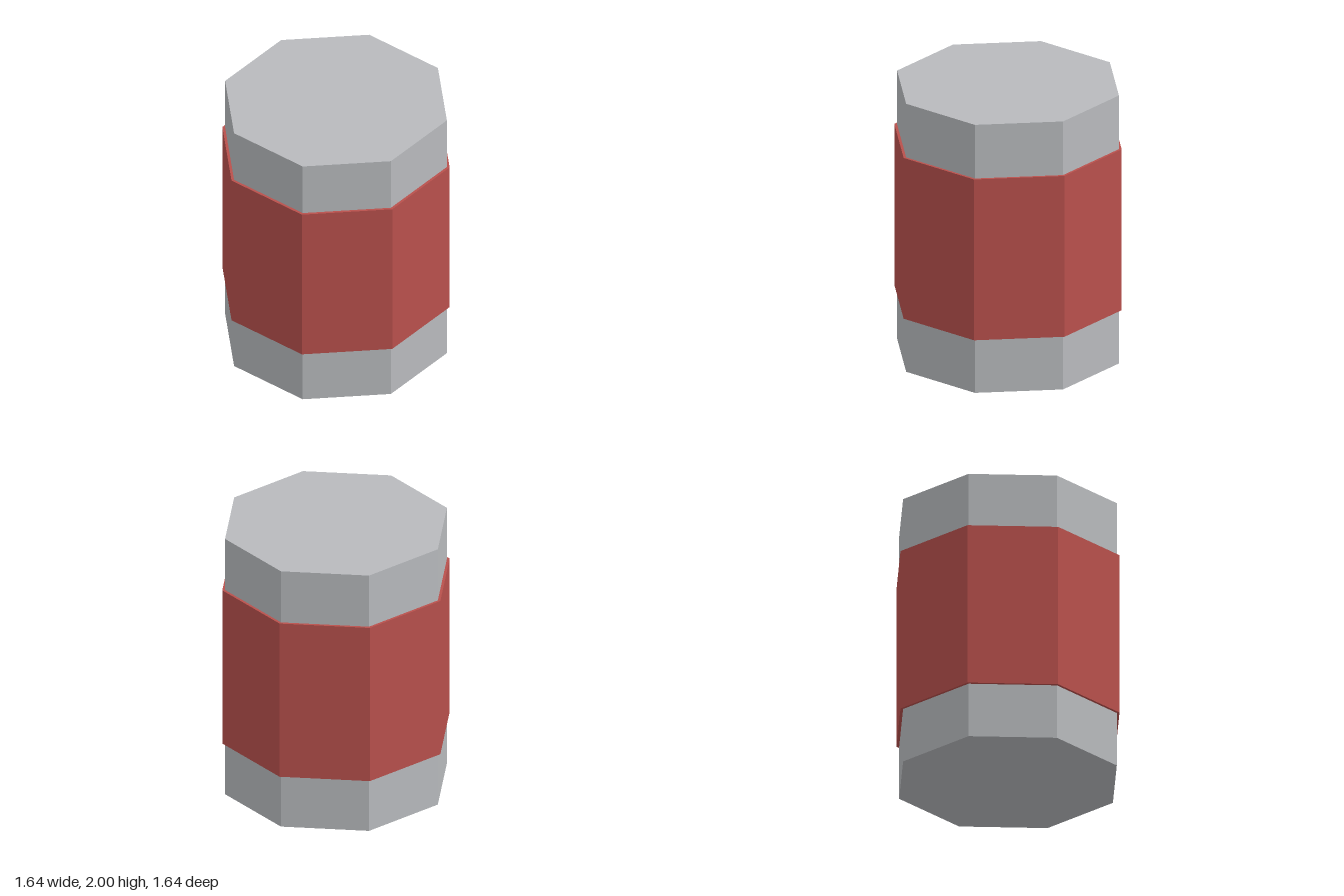
import * as THREE from 'three';

const SIDES = 8;

export function createModel() {
  const metal = new THREE.MeshStandardMaterial({ color: 0xb8babd });
  metal.name = 'grey metal';
  metal.flatShading = true;
  const red = new THREE.MeshStandardMaterial({ color: 0xb8504c });
  red.name = 'red label';
  red.flatShading = true;

  const group = new THREE.Group();
  group.name = 'can';

  // Upright octagonal prism with corners on the x and z axes
  const addPrism = (name, radius, height, material) => {
    const mesh = new THREE.Mesh(new THREE.CylinderGeometry(radius, radius, height, SIDES), material);
    mesh.name = name;
    mesh.position.y = 1;
    group.add(mesh);
  };

  addPrism('canBody', 0.8, 2, metal);
  // Label band wrapped around the middle
  addPrism('labelBand', 0.82, 1.2, red);

  return group;
}
